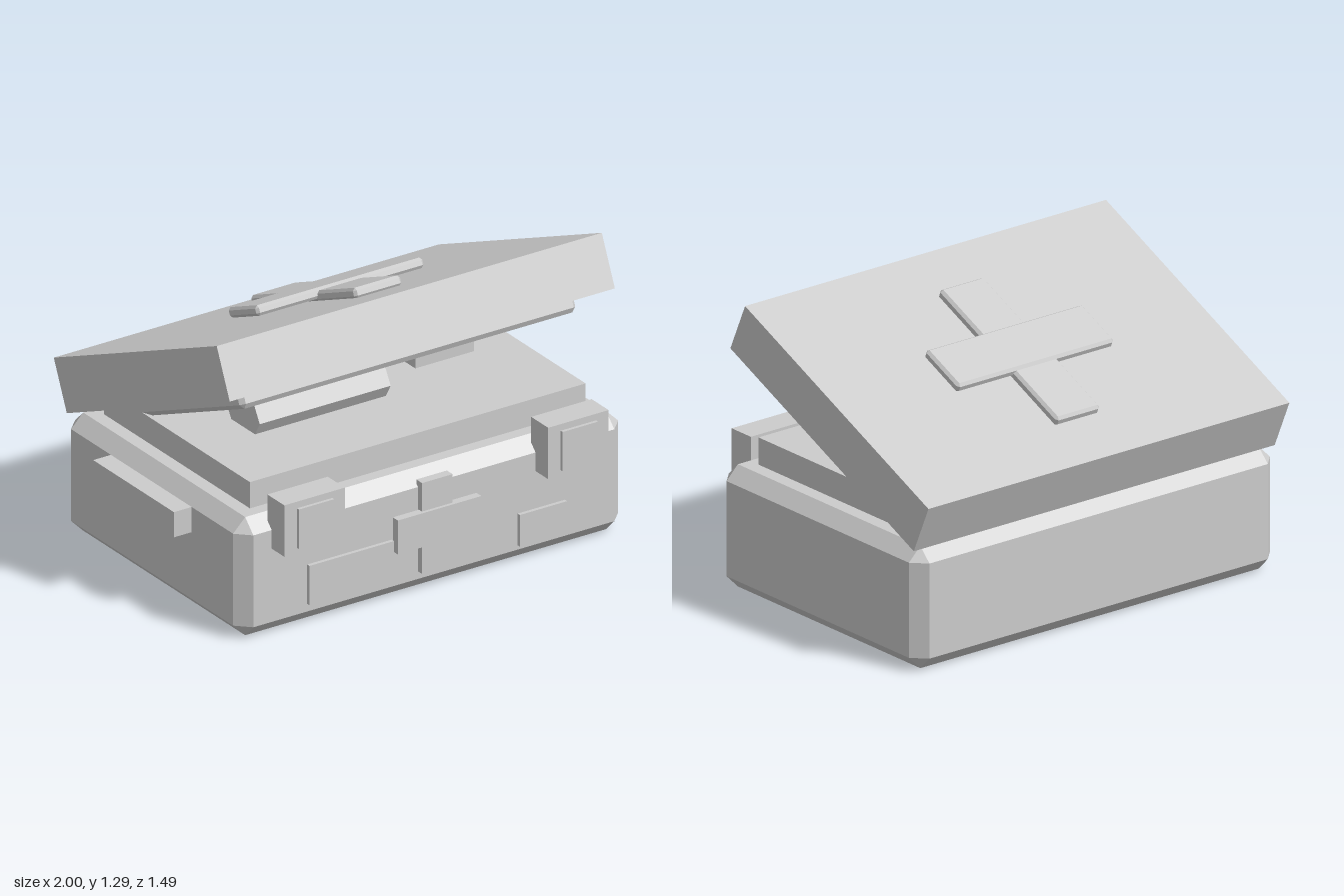
import * as THREE from 'three';
import { ConvexGeometry } from 'three/addons/geometries/ConvexGeometry.js';

const MID = 0.044; // centre of the case in x
const TILT = THREE.MathUtils.degToRad(-24);

// Box whose edges are all cut at 45 degrees
function chamferBox(w, h, d, c) {
  const pts = [];
  for (const sx of [-1, 1]) for (const sy of [-1, 1]) for (const sz of [-1, 1]) {
    const x = w / 2, y = h / 2, z = d / 2;
    pts.push(
      new THREE.Vector3(sx * x, sy * (y - c), sz * (z - c)),
      new THREE.Vector3(sx * (x - c), sy * y, sz * (z - c)),
      new THREE.Vector3(sx * (x - c), sy * (y - c), sz * z));
  }
  return new ConvexGeometry(pts);
}

export function createModel() {
  const grey = new THREE.MeshStandardMaterial({ color: 0xcccccc });
  grey.name = 'plain grey';
  const model = new THREE.Group();
  model.name = 'firstAidCase';

  // Adds a box given by its limits on each axis; c cuts the edges
  function box(name, [x0, x1], [y0, y1], [z0, z1], parent = model, c = 0) {
    const size = [x1 - x0, y1 - y0, z1 - z0];
    const geo = c ? chamferBox(...size, c) : new THREE.BoxGeometry(...size);
    const mesh = new THREE.Mesh(geo, grey);
    mesh.name = name;
    mesh.position.set((x0 + x1) / 2, (y0 + y1) / 2, (z0 + z1) / 2);
    parent.add(mesh);
    return mesh;
  }

  // Case body and raised tray
  box('body', [-0.912, 1], [0, 0.54], [-0.675, 0.637], model, 0.06);
  box('tray', [-0.79, 0.877], [0.5, 0.66], [-0.555, 0.52]);

  // Open lid, tipped up at the front
  const lid = new THREE.Group();
  lid.name = 'lid';
  lid.position.set(MID, 0.915, -0.095);
  lid.rotation.x = TILT;
  model.add(lid);
  box('lidShell', [-0.956, 0.956], [-0.118, 0.118], [-0.656, 0.656], lid);
  box('lidLining', [-0.834, 0.834], [-0.179, -0.1], [-0.537, 0.537], lid, 0.02);
  box('lidCrossLong', [-0.117, 0.117], [0.115, 0.161], [-0.425, 0.417], lid, 0.012);
  box('lidCrossWide', [-0.415, 0.415], [0.128, 0.173], [-0.117, 0.119], lid, 0.012);

  // Latches with a raised plate
  for (const s of [-1, 1]) {
    const x = MID + s * 0.655;
    box('latch', [x - 0.15, x + 0.15], [0.395, 0.63], [0.605, 0.73]);
    box('latchPlate', [x - 0.088, x + 0.088], [0.42, 0.6], [0.7, 0.745]);
  }

  // Cross and labels on the front
  box('frontCrossUpright', [-0.035, 0.117], [0.095, 0.51], [0.625, 0.667]);
  box('frontCrossBar', [-0.165, 0.25], [0.225, 0.38], [0.645, 0.682]);
  box('wideLabel', [-0.585, -0.165], [0.095, 0.275], [0.625, 0.654]);
  box('smallLabel', [0.46, 0.695], [0.08, 0.225], [0.625, 0.654]);

  // Carrying handle on the side
  box('sideHandle', [-1, -0.9], [0.365, 0.48], [-0.322, 0.272]);

  // Contents: six-sided bandage roll and a small pack
  const rollGeo = new THREE.CylinderGeometry(0.122, 0.122, 0.65, 6).toNonIndexed();
  rollGeo.rotateZ(Math.PI / 2);
  rollGeo.computeVertexNormals();
  const roll = new THREE.Mesh(rollGeo, grey);
  roll.name = 'bandageRoll';
  roll.position.set(-0.195, 0.72, 0.07);
  model.add(roll);
  box('smallPack', [0.375, 0.667], [0.64, 0.78], [-0.2, 0.01]);

  return model;
}
